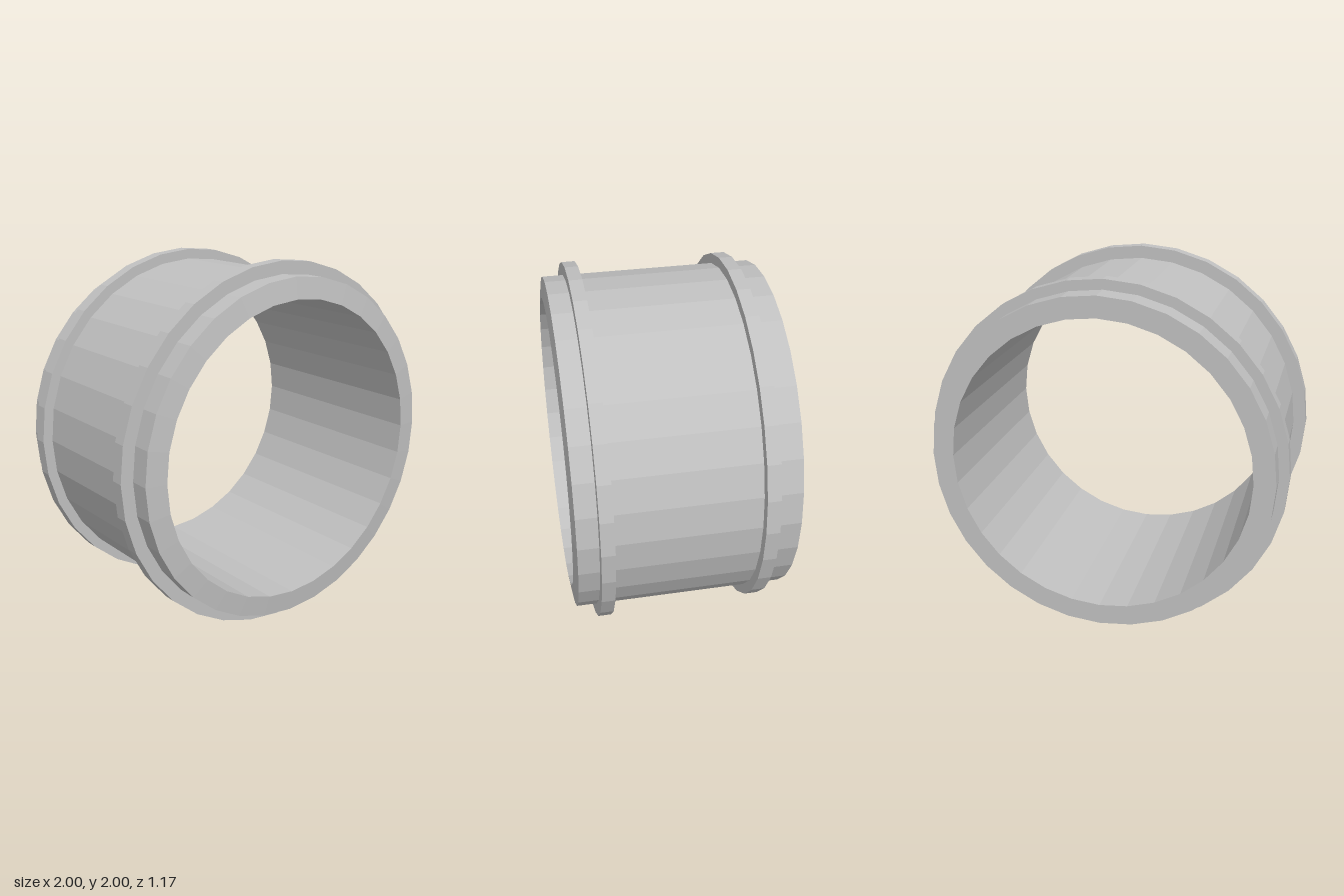
import * as THREE from 'three';

const SIDES = 32;

// Faceted ring around the z axis from a closed [radius, z] profile
function ring(name, profile, material) {
  const points = [...profile, profile[0]].map(([r, z]) => new THREE.Vector2(r, z));
  const geometry = new THREE.LatheGeometry(points, SIDES).rotateX(Math.PI / 2).toNonIndexed();
  geometry.computeVertexNormals();
  const mesh = new THREE.Mesh(geometry, material);
  mesh.name = name;
  mesh.position.y = 1;
  return mesh;
}

export function createModel() {
  const group = new THREE.Group();
  group.name = 'flangedSleeve';
  const grey = new THREE.MeshStandardMaterial({ color: 0xc0c0c0 });
  grey.name = 'plain grey';

  // Sleeve with a slightly coned front face
  group.add(ring('sleeve', [[0.815, -0.583], [0.93, -0.583], [0.93, 0.568], [0.815, 0.583]], grey));

  // Raised collars: the front one is a little larger
  const collar = (name, radius, back, front) =>
    ring(name, [[0.9, back], [radius, back], [radius, front], [0.9, front]], grey);
  group.add(collar('frontCollar', 1, 0.385, 0.457));
  group.add(collar('backCollar', 0.985, -0.453, -0.38));

  return group;
}
